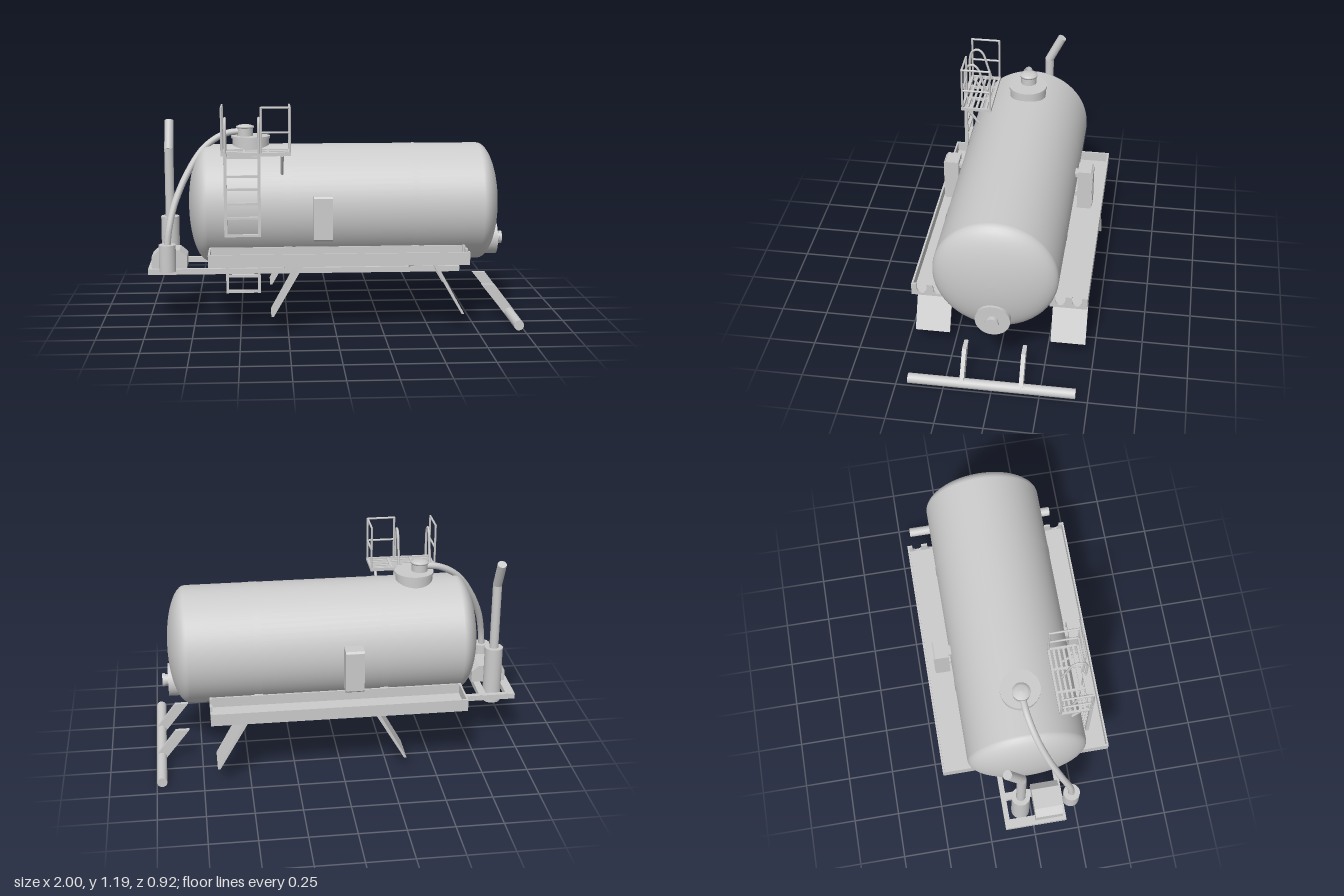
import * as THREE from 'three';

const mat = new THREE.MeshStandardMaterial({ color: 0xcccccc, side: THREE.DoubleSide });
const V = (x, y, z) => new THREE.Vector3(x, y, z);

export function createModel() {
  const root = new THREE.Group();
  root.name = 'tankBody';

  const add = (name, geo, parent = root) => {
    const m = new THREE.Mesh(geo, mat);
    m.name = name;
    parent.add(m);
    return m;
  };
  const group = (name) => {
    const g = new THREE.Group();
    g.name = name;
    root.add(g);
    return g;
  };
  // Box given by its limits on each axis
  const box = (name, x0, x1, y0, y1, z0, z1, parent) => {
    const g = new THREE.BoxGeometry(x1 - x0, y1 - y0, Math.abs(z1 - z0));
    return add(name, g.translate((x0 + x1) / 2, (y0 + y1) / 2, (z0 + z1) / 2), parent);
  };
  // Round bar between two points
  const bar = (name, a, b, r, parent, sides = 8) => {
    const d = b.clone().sub(a);
    const m = add(name, new THREE.CylinderGeometry(r, r, d.length(), sides), parent);
    m.position.copy(a).addScaledVector(d, 0.5);
    m.quaternion.setFromUnitVectors(V(0, 1, 0), d.normalize());
    return m;
  };
  const shape = (pts) => new THREE.Shape(pts.map(([x, y]) => new THREE.Vector2(x, y)));
  // Outline in x,y extruded from z0 to z1
  const plateXY = (name, pts, z0, z1, parent) => add(name,
    new THREE.ExtrudeGeometry(shape(pts), { depth: z1 - z0, bevelEnabled: false }).translate(0, 0, z0), parent);
  // Outline in z,y extruded along x, centred on xc
  const plateZY = (name, s, xc, w, parent) => add(name,
    new THREE.ExtrudeGeometry(s, { depth: w, bevelEnabled: false, curveSegments: 10 })
      .translate(0, 0, -w / 2).rotateY(-Math.PI / 2).translate(xc, 0, 0), parent);

  // Tank: cylinder with dished ends
  const R = 0.32, axisY = 0.63, profile = [];
  for (let i = 0; i <= 12; i++) {
    const a = (i / 12) * Math.PI / 2;
    profile.push(new THREE.Vector2(R * Math.sin(a), -0.67 - 0.11 * Math.cos(a)));
  }
  for (let i = 12; i >= 0; i--) {
    const a = (i / 12) * Math.PI / 2;
    profile.push(new THREE.Vector2(R * Math.sin(a), 0.8 + 0.11 * Math.cos(a)));
  }
  add('tank', new THREE.LatheGeometry(profile, 64).rotateZ(-Math.PI / 2).translate(0, axisY, 0));

  // Straps and the saddles below them
  for (const x of [-0.245, 0.435]) {
    add('strap', new THREE.CylinderGeometry(0.322, 0.322, 0.04, 64, 1, true)
      .rotateZ(Math.PI / 2).translate(x, axisY, 0));
    plateZY('saddle', shape([[-0.27, 0.43], [-0.27, 0.36], [-0.165, 0.295], [0.165, 0.295],
      [0.27, 0.36], [0.27, 0.43]]), x, 0.045);
  }

  // Rear outlet
  bar('outletFlange', V(0.8, 0.42, 0), V(0.915, 0.42, 0), 0.09, root, 32);
  bar('outletPipe', V(0.91, 0.42, 0), V(0.935, 0.42, 0), 0.03, root, 24);
  bar('outletCap', V(0.932, 0.42, 0), V(0.947, 0.42, 0), 0.036, root, 24);

  // Manhole and its cap
  const post = (name, x, z, y0, y1, r) => bar(name, V(x, y0, z), V(x, y1, z), r, root, 32);
  post('manhole', -0.44, 0, 0.88, 0.99, 0.1);
  post('manholeRim', -0.44, 0, 0.985, 0.998, 0.106);
  post('hatchNeck', -0.47, 0, 0.99, 1.045, 0.043);
  add('hatchCap', new THREE.LatheGeometry([[0, 1.04], [0.048, 1.04], [0.048, 1.05], [0.03, 1.057], [0, 1.06]]
    .map(([r, y]) => new THREE.Vector2(r, y)), 32).translate(-0.47, 0, 0));

  // Chassis rails and pump deck
  for (const s of [-1, 1]) box('rail', -1, 0.69, 0.265, 0.295, s * 0.14, s * 0.168);
  box('deckBeam', -1, -0.95, 0.266, 0.296, -0.165, 0.165);
  box('deckBeam', -0.84, -0.8, 0.266, 0.296, -0.165, 0.165);
  plateXY('pump', [[-0.98, 0.295], [-0.79, 0.295], [-0.79, 0.36], [-0.83, 0.395], [-0.94, 0.395], [-0.98, 0.36]], 0, 0.15);

  // Silencer with bent stack, and hose pot with suction hose
  post('silencer', -0.89, -0.07, 0.22, 0.545, 0.05);
  post('stack', -0.89, -0.07, 0.54, 0.925, 0.025);
  bar('stackTip', V(-0.89, 0.915, -0.067), V(-0.89, 1.067, -0.143), 0.025, root, 24);
  post('hosePot', -0.89, 0.21, 0.295, 0.44, 0.045);
  const hosePath = new THREE.CatmullRomCurve3([V(-0.89, 0.43, 0.21), V(-0.88, 0.52, 0.2), V(-0.85, 0.65, 0.155),
    V(-0.78, 0.81, 0.09), V(-0.69, 0.94, 0.04), V(-0.58, 1.01, 0.01), V(-0.46, 1.025, 0)]);
  add('hose', new THREE.TubeGeometry(hosePath, 40, 0.018, 12));

  // Side trays, flaps and lockers, mirrored
  for (const s of [-1, 1]) {
    const tray = group(s > 0 ? 'leftTray' : 'rightTray');
    box('trayFloor', -0.665, 0.7, 0.365, 0.377, s * 0.265, s * 0.46, tray);
    box('trayOuterWall', -0.665, 0.7, 0.365, 0.432, s * 0.45, s * 0.46, tray);
    box('trayInnerWall', -0.665, 0.7, 0.365, 0.432, s * 0.265, s * 0.275, tray);
    box('trayEnd', -0.665, -0.655, 0.365, 0.432, s * 0.265, s * 0.46, tray);
    // End plate with two round-bottomed notches
    const e = new THREE.Shape();
    e.moveTo(-0.0975, 0.367);
    e.lineTo(0.0975, 0.367);
    e.lineTo(0.0975, 0.434);
    for (const c of [0.043, -0.043]) {
      e.lineTo(c + 0.026, 0.434);
      e.lineTo(c + 0.026, 0.405);
      e.absarc(c, 0.405, 0.026, 0, -Math.PI, true);
      e.lineTo(c - 0.026, 0.434);
    }
    e.lineTo(-0.0975, 0.434);
    plateZY('notchedEnd', e, 0.694, 0.012, tray).position.z = s * 0.3625;

    // Slanted mudflaps with hangers
    const z0 = s > 0 ? 0.27 : -0.455, z1 = z0 + 0.185;
    for (const [xa, xb] of [[-0.17, -0.34], [0.505, 0.675]]) {
      plateXY('mudflap', [[xb, 0.1], [xb + (xa > xb ? 0.014 : -0.014), 0.1], [xa, 0.37],
        [xa + (xa > xb ? -0.022 : 0.022), 0.37]], z0, z1);
    }
    for (const x of [-0.245, 0.435]) box('trayBracket', x - 0.022, x + 0.022, 0.345, 0.366, s * 0.22, s * 0.4);

    // Locker on two stand-offs with a raised door
    const locker = group('locker');
    plateZY('lockerBody', shape([[s * 0.33, 0.487], [s * 0.402, 0.487], [s * 0.41, 0.497],
      [s * 0.41, 0.713], [s * 0.402, 0.723], [s * 0.33, 0.723]]), -0.064, 0.1, locker);
    box('lockerDoor', -0.106, -0.022, 0.497, 0.713, s * 0.405, s * 0.413, locker);
    for (const y of [0.563, 0.685]) box('lockerMount', -0.09, -0.04, y - 0.013, y + 0.013, s * 0.29, s * 0.335, locker);

    // Bumper arm
    plateXY('bumperArm', [[0.815, 0.187], [0.888, 0.187], [0.995, 0.045], [0.955, 0.01]], s * 0.154 - 0.011, s * 0.154 + 0.011);
  }
  bar('bumper', V(0.972, 0.028, -0.435), V(0.972, 0.028, 0.438), 0.027, root, 24);

  // Catwalk: frame and grating
  const walk = group('catwalk');
  for (const z of [0.185, 0.34]) box('walkEdge', -0.595, -0.23, 0.93, 0.948, z - 0.006, z + 0.006, walk);
  for (const x of [-0.59, -0.475, -0.35, -0.236]) box('walkCross', x - 0.006, x + 0.006, 0.93, 0.946, 0.18, 0.345, walk);
  for (let i = 1; i < 6; i++) {
    const z = 0.185 + i * 0.0258;
    box('grating', -0.59, -0.235, 0.934, 0.944, z - 0.006, z + 0.006, walk);
  }
  for (const x of [-0.575, -0.275]) bar('walkStrut', V(x, 0.93, 0.33), V(x, 0.82, 0.25), 0.008, walk);

  // Guard rails: both ends and the part of the long side beside the ladder
  const guard = (a, b) => {
    for (const [x, z] of [a, b]) bar('guardPost', V(x, 0.94, z), V(x, 1.185, z), 0.006, walk);
    for (const y of [1.053, 1.182]) bar('guardRail', V(a[0], y, a[1]), V(b[0], y, b[1]), 0.006, walk);
  };
  guard([-0.59, 0.185], [-0.59, 0.34]);
  guard([-0.235, 0.185], [-0.235, 0.34]);
  guard([-0.235, 0.34], [-0.385, 0.34]);

  // Ladder with looped handrails
  const ladder = group('ladder');
  for (const x of [-0.573, -0.397]) {
    box('stringer', x - 0.008, x + 0.008, 0.505, 0.945, 0.341, 0.359, ladder);
    const loop = new THREE.CatmullRomCurve3([V(x, 0.72, 0.352), V(x, 0.9, 0.352), V(x, 1.08, 0.35), V(x, 1.118, 0.333),
      V(x, 1.125, 0.3), V(x, 1.1, 0.275), V(x, 1.03, 0.253), V(x, 0.945, 0.228)]);
    add('handrail', new THREE.TubeGeometry(loop, 32, 0.007, 8), ladder);
  }
  for (const y of [0.512, 0.605, 0.68, 0.757, 0.825, 0.925]) box('rung', -0.573, -0.397, y - 0.006, y + 0.006, 0.34, 0.358, ladder);

  // Lower step below the tray
  const step = group('lowerStep');
  for (const x of [-0.565, -0.4]) box('stepSide', x - 0.007, x + 0.007, 0.228, 0.37, 0.432, 0.45, step);
  for (const y of [0.236, 0.318]) box('stepRung', -0.565, -0.4, y - 0.007, y + 0.007, 0.432, 0.45, step);

  return root;
}
